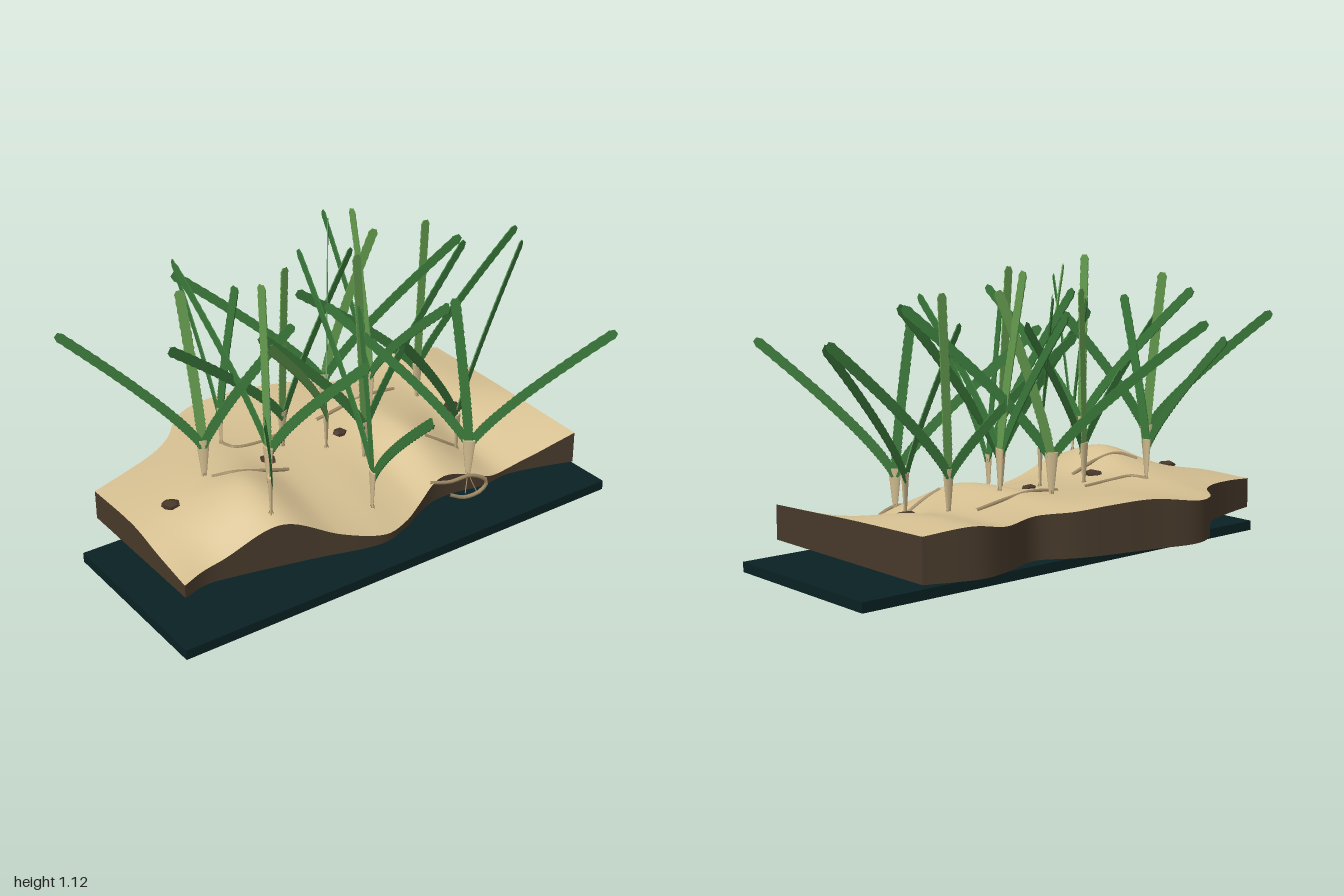
import * as THREE from 'three';
import { toCreasedNormals } from 'three/addons/utils/BufferGeometryUtils.js';

const mat = (name, color, side = THREE.FrontSide) => {
  const m = new THREE.MeshStandardMaterial({ color, side });
  m.name = name;
  return m;
};

// Smooth interpolation of ys over increasing xs
function smooth(xs, ys, x) {
  let i = 0;
  while (i < xs.length - 2 && x > xs[i + 1]) i++;
  const slope = k => {
    const a = Math.max(k - 1, 0), b = Math.min(k + 1, xs.length - 1);
    return (ys[b] - ys[a]) / (xs[b] - xs[a]);
  };
  const h = xs[i + 1] - xs[i], t = (x - xs[i]) / h, t2 = t * t, t3 = t2 * t;
  return ys[i] * (2 * t3 - 3 * t2 + 1) + ys[i + 1] * (3 * t2 - 2 * t3)
    + slope(i) * h * (t3 - 2 * t2 + t) + slope(i + 1) * h * (t3 - t2);
}

// Sheet of quads from a function of u, v in 0..1
function sheet(nu, nv, fn) {
  const pos = [], idx = [];
  for (let j = 0; j <= nv; j++) for (let i = 0; i <= nu; i++) pos.push(...fn(i / nu, j / nv));
  for (let j = 0; j < nv; j++) for (let i = 0; i < nu; i++) {
    const a = j * (nu + 1) + i, b = a + 1, c = a + nu + 1, d = c + 1;
    idx.push(a, b, c, b, d, c);
  }
  const g = new THREE.BufferGeometry();
  g.setAttribute('position', new THREE.Float32BufferAttribute(pos, 3));
  g.setIndex(idx);
  g.computeVertexNormals();
  return g;
}

// Seabed outline along x
const FRONT_X = [-0.9, -0.8, -0.7, -0.4, -0.14, 0, 0.1, 0.2, 0.3, 0.42, 0.55, 0.7, 0.825];
const FRONT_Z = [0.283, 0.257, 0.27, 0.34, 0.405, 0.365, 0.315, 0.28, 0.28, 0.302, 0.29, 0.325, 0.367];
const BACK_X = [-0.9, -0.75, -0.6, -0.5, -0.4, -0.28, -0.1, 0.1, 0.2, 0.33, 0.5, 0.63, 0.825];
const BACK_Z = [-0.36, -0.395, -0.445, -0.51, -0.62, -0.668, -0.628, -0.583, -0.55, -0.485, -0.54, -0.56, -0.495];
// Seabed heights along x, for rows running front to back
const X = [-0.9, -0.75, -0.52, -0.3, -0.1, 0.08, 0.25, 0.5, 0.66, 0.825];
const ROWS = [0, 0.28, 0.55, 1];
const HEIGHTS = [
  [0.17, 0.195, 0.29, 0.20, 0.15, 0.155, 0.21, 0.142, 0.18, 0.25],
  [0.20, 0.25, 0.355, 0.27, 0.24, 0.24, 0.30, 0.185, 0.22, 0.26],
  [0.235, 0.265, 0.31, 0.29, 0.28, 0.29, 0.315, 0.265, 0.28, 0.27],
  [0.235, 0.25, 0.265, 0.275, 0.30, 0.295, 0.28, 0.275, 0.30, 0.28],
];
const BASE = 0.12;
function bed(u, v) {
  const x = -0.9 + 1.725 * u;
  const f = smooth(FRONT_X, FRONT_Z, x), b = smooth(BACK_X, BACK_Z, x);
  const y = smooth(ROWS, HEIGHTS.map(h => smooth(X, h, x)), v);
  return [x, y, f + (b - f) * v];
}
function groundY(x, z) {
  const f = smooth(FRONT_X, FRONT_Z, x), b = smooth(BACK_X, BACK_Z, x);
  return bed((x + 0.9) / 1.725, THREE.MathUtils.clamp((z - f) / (b - f), 0, 1))[1];
}

// Each shoot: base x, z, then leaf tips [x, z, y, young]; the leaves fan in one upright plane
const SHOOTS = [
  [-0.57, -0.12, [-0.99, -0.385, 0.89], [-0.62, -0.15, 1.05, 1], [-0.28, 0.05, 0.9]],
  [-0.52, 0.25, [-0.84, 0.725, 0.985], [-0.36, 0, 0.95]],
  [-0.43, 0.1, [-0.34, 0.58, 0.97], [-0.44, 0.1, 1.115, 1], [-0.47, -0.45, 1.01]],
  [-0.38, -0.31, [-0.29, -0.78, 0.865], [-0.36, -0.2, 0.98]],
  [-0.19, -0.17, [-0.74, -0.03, 0.9], [-0.16, -0.18, 1.01, 1], [0.27, -0.36, 0.92]],
  [-0.09, 0.27, [-0.22, 0.775, 0.81], [-0.1, 0.2, 0.98], [-0.04, -0.27, 1.02]],
  [0.05, 0.03, [-0.43, 0.06, 0.9], [0.01, 0.03, 1.09, 1], [0.58, -0.05, 0.98]],
  [-0.05, -0.08, [-0.62, 0.42, 1.05, 1], [0.23, -0.46, 1.02]],
  [0.10, -0.31, [-0.4, -0.59, 0.9], [0.3, -0.25, 1.03, 1], [0.6, -0.1, 0.98]],
  [0.25, -0.2, [0.33, -0.64, 0.975], [0.25, -0.33, 1.1, 1], [0.17, 0.37, 0.97]],
  [0.35, 0.29, [0.73, 0.64, 0.82], [0.3, 0.24, 0.92], [-0.05, -0.08, 0.87]],
  [0.43, 0.12, [0.94, -0.12, 0.87], [0, 0.33, 0.85]],
  [0.49, -0.21, [0.99, -0.215, 0.89], [0.515, -0.21, 1.03, 1], [-0.05, -0.27, 0.85]],
];

// Thin strap leaf of even width with finely toothed edges and a blunt tip
function leafGeometry(start, tip, normal) {
  const ctrl = start.clone().lerp(tip, 0.12);
  ctrl.y = start.y + (tip.y - start.y) * 0.27;
  const curve = new THREE.QuadraticBezierCurve3(start, ctrl, tip);
  const n = 56, thick = 0.0022;
  const geo = sheet(4, n, (u, v) => {
    const p = curve.getPoint(v);
    const side = new THREE.Vector3().crossVectors(normal, curve.getTangent(v)).normalize();
    const tooth = Math.round(v * n) % 2 ? 0.0025 : 0;
    const w = (0.013 + 0.004 * Math.min(1, v * 4) + tooth) * (v === 1 ? 0.55 : 1);
    const a = u * Math.PI * 2 + Math.PI / 4;
    return p.addScaledVector(side, Math.SQRT2 * Math.cos(a) * w)
      .addScaledVector(normal, Math.SQRT2 * Math.sin(a) * thick).toArray();
  });
  return toCreasedNormals(geo, 0.8);
}

export function createModel() {
  const sand = mat('sand', 0xd6c092), earth = mat('earth', 0x483a2b, THREE.DoubleSide), slab = mat('deep teal', 0x092123);
  const green = mat('leaf green', 0x3b7a3b), young = mat('young leaf green', 0x669e50);
  const sheathMat = mat('pale sheath', 0xd3bd90), rootMat = mat('root', 0xa08b66), stone = mat('stone', 0x463629);
  const model = new THREE.Group();
  const add = (parent, name, geo, material) => {
    const m = new THREE.Mesh(geo, material);
    m.name = name;
    parent.add(m);
    return m;
  };
  const tube = (parent, name, pts, r, material) => {
    const c = new THREE.CatmullRomCurve3(pts.map(p => new THREE.Vector3(...p)));
    return add(parent, name, new THREE.TubeGeometry(c, 20, r, 6), material);
  };

  // Floating base plate
  add(model, 'basePlate', new THREE.BoxGeometry(1.92, 0.038, 0.74), slab).position.set(-0.04, 0.019, 0.078);

  // Rippled seabed block: sand top, earth walls and underside
  add(model, 'sandTop', sheet(80, 40, bed), sand);
  const drop = (p, t) => [p[0], p[1] + (BASE - p[1]) * t, p[2]];
  add(model, 'frontWall', sheet(80, 3, (u, t) => drop(bed(u, 0), 1 - t)), earth);
  add(model, 'backWall', sheet(80, 3, (u, t) => drop(bed(u, 1), t)), earth);
  add(model, 'leftWall', sheet(40, 3, (v, t) => drop(bed(1, v), 1 - t)), earth);
  add(model, 'rightWall', sheet(40, 3, (v, t) => drop(bed(0, v), t)), earth);
  add(model, 'underside', sheet(80, 1, (u, v) => drop(bed(u, 1 - v), 1)), earth);

  // Seagrass shoots
  SHOOTS.forEach(([x, z, ...tips], k) => {
    const shoot = new THREE.Group();
    shoot.name = 'seagrassShoot' + (k + 1);
    model.add(shoot);
    const y = groundY(x, z), top = y + 0.15;
    const dir = new THREE.Vector3(tips[0][0] - x, 0, tips[0][1] - z).normalize();
    // Flattened sheath widening upward from a narrow stalk
    const sheath = add(shoot, 'sheath', new THREE.CylinderGeometry(0.025, 0.008, 0.16, 12), sheathMat);
    sheath.scale.z = 0.4;
    sheath.position.set(x, y + 0.07, z);
    sheath.rotation.y = Math.atan2(-dir.z, dir.x);
    tips.forEach(([tx, tz, ty, isYoung], i) => {
      const lean = new THREE.Vector3(tx - x, 0, tz - z);
      const flat = lean.length() > 0.1 ? lean.normalize() : dir;
      const normal = new THREE.Vector3(-flat.z, 0, flat.x);
      const start = new THREE.Vector3(x, top - 0.03, z).addScaledVector(normal, (i - 1) * 0.006);
      add(shoot, 'leaf', leafGeometry(start, new THREE.Vector3(tx, ty, tz), normal), isYoung ? young : green);
    });
    // Fine roots spreading below the sheath
    for (let i = 0; i < 5; i++) {
      const a = i * 1.257 + k, c = Math.cos(a) * 0.04, s = Math.sin(a) * 0.04;
      tube(shoot, 'root', [[x, y + 0.02, z], [x + c * 0.4, y - 0.02, z + s * 0.4], [x + c, y - 0.06, z + s]], 0.002, rootMat);
    }
  });

  // Fine roots hanging under the front shoot
  for (let i = 0; i < 5; i++) {
    const o = (i - 2) * 0.018;
    tube(model, 'hangingRoot', [[-0.09, 0.2, 0.27], [-0.09 + o * 0.3, 0.13, 0.28], [-0.09 + o, 0.085 + Math.abs(o) * 0.4, 0.27 + o]], 0.002, rootMat);
  }

  // Rhizomes half buried in the sand
  const rhizomes = [
    [[-0.38, -0.31], [-0.36, -0.25], [-0.25, -0.235], [-0.11, -0.255]],
    [[0.02, -0.25], [0.15, -0.26], [0.3, -0.29], [0.44, -0.3]],
    [[-0.56, -0.08], [-0.5, -0.03], [-0.4, -0.01], [-0.27, -0.015]],
    [[0.3, 0.08], [0.36, 0.1], [0.43, 0.11]],
  ];
  for (const path of rhizomes)
    tube(model, 'rhizome', path.map(([x, z]) => [x, groundY(x, z), z]), 0.008, rootMat);
  // Rhizome looping out through the front edge
  tube(model, 'rhizomeLoop', [[0.18, 0.2, 0.27], [0.26, 0.185, 0.29], [0.36, 0.185, 0.3], [0.43, 0.14, 0.31],
    [0.41, 0.1, 0.3], [0.34, 0.09, 0.29], [0.27, 0.12, 0.28]], 0.008, rootMat);

  // Flat angular pebbles
  for (const [x, z, r] of [[-0.745, -0.065, 0.038], [-0.305, -0.1, 0.038], [0.045, -0.125, 0.032], [0.575, -0.085, 0.044]]) {
    const p = add(model, 'pebble', new THREE.DodecahedronGeometry(r), stone);
    p.scale.set(1, 0.4, 0.85);
    p.rotation.y = x * 5;
    p.position.set(x, groundY(x, z) + 0.003, z);
  }
  return model;
}
